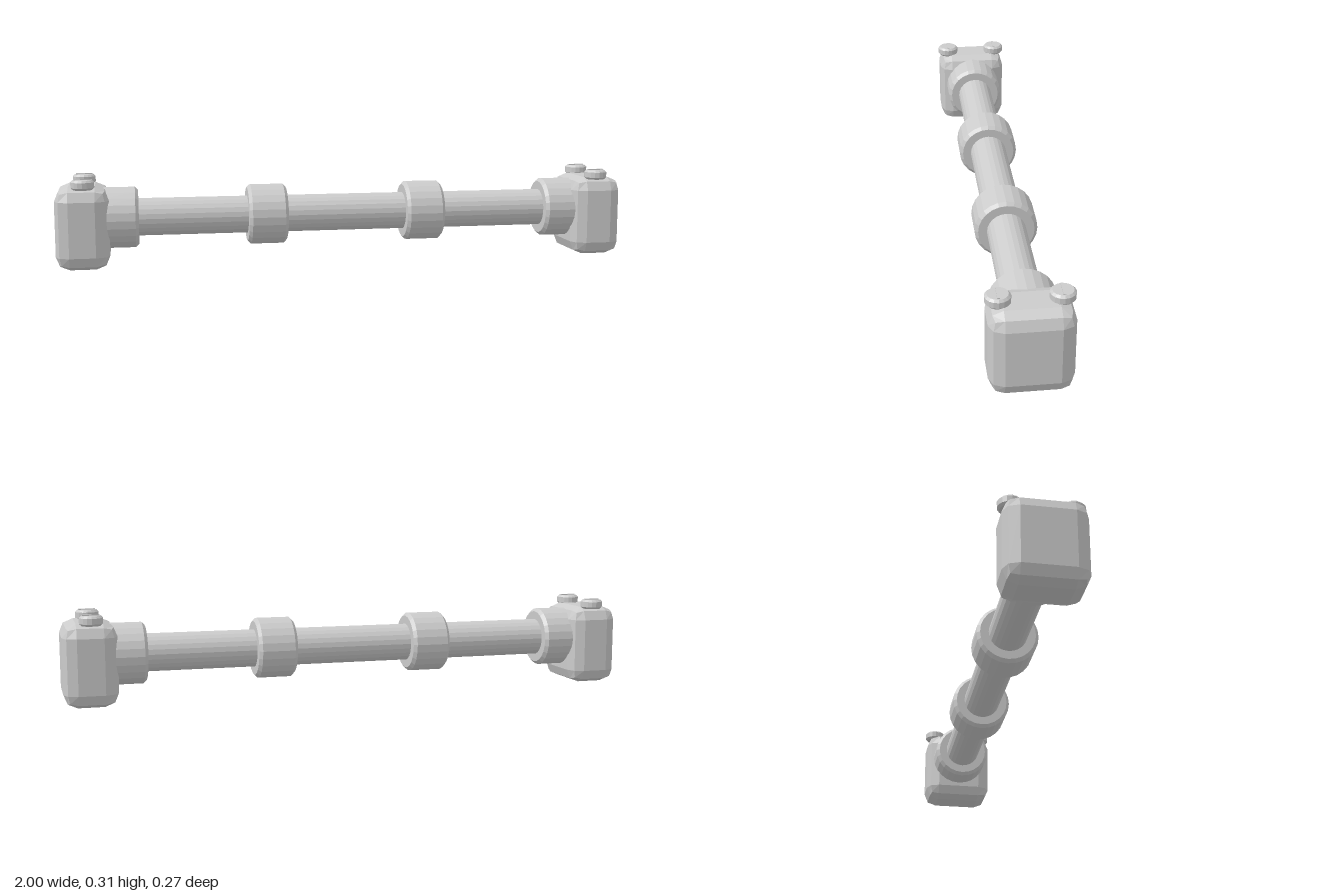
import * as THREE from 'three';
import { RoundedBoxGeometry } from 'three/addons/geometries/RoundedBoxGeometry.js';

const AXIS_Y = 0.165;

// Chamfered disc around the y axis, centred on its own origin
function chamferedDisc(radius, height, bevel, sides) {
  const h = height / 2;
  const profile = [[0, -h], [radius - bevel, -h], [radius, -h + bevel],
    [radius, h - bevel], [radius - bevel, h], [0, h]];
  return new THREE.LatheGeometry(profile.map(([r, y]) => new THREE.Vector2(r, y)), sides);
}

export function createModel() {
  const group = new THREE.Group();
  const material = new THREE.MeshStandardMaterial({ color: 0xcccccc, flatShading: true });

  function add(name, geometry, x, y, z) {
    const mesh = new THREE.Mesh(geometry, material);
    mesh.name = name;
    mesh.position.set(x, y, z);
    group.add(mesh);
    return mesh;
  }

  // Long round bar between the end blocks
  const bar = new THREE.CylinderGeometry(0.065, 0.065, 1.76, 24).rotateZ(Math.PI / 2);
  add('bar', bar, 0, AXIS_Y, 0);

  const collar = chamferedDisc(0.105, 0.136, 0.011, 24).rotateZ(Math.PI / 2);
  const block = new RoundedBoxGeometry(0.18, 0.28, 0.256, 1, 0.046);
  const screwHead = chamferedDisc(0.039, 0.033, 0.007, 16);
  const screwRidge = new THREE.BoxGeometry(0.056, 0.008, 0.008);

  for (const side of [-1, 1]) {
    const label = side > 0 ? 'left' : 'right';

    // Collars on the bar and against the block
    add(label + 'MiddleCollar', collar, side * 0.279, AXIS_Y, 0);
    add(label + 'EndCollar', collar, side * 0.79, AXIS_Y, 0);

    // Bevelled end block
    add(label + 'EndBlock', block, side * 0.91, 0.14, 0);

    // Two screws on top of the block
    for (const z of [-0.094, 0.094]) {
      const end = z > 0 ? 'Front' : 'Back';
      add(label + end + 'ScrewHead', screwHead, side * 0.905, 0.2905, z);
      add(label + end + 'ScrewRidge', screwRidge, side * 0.905, 0.306, z);
    }
  }
  return group;
}
